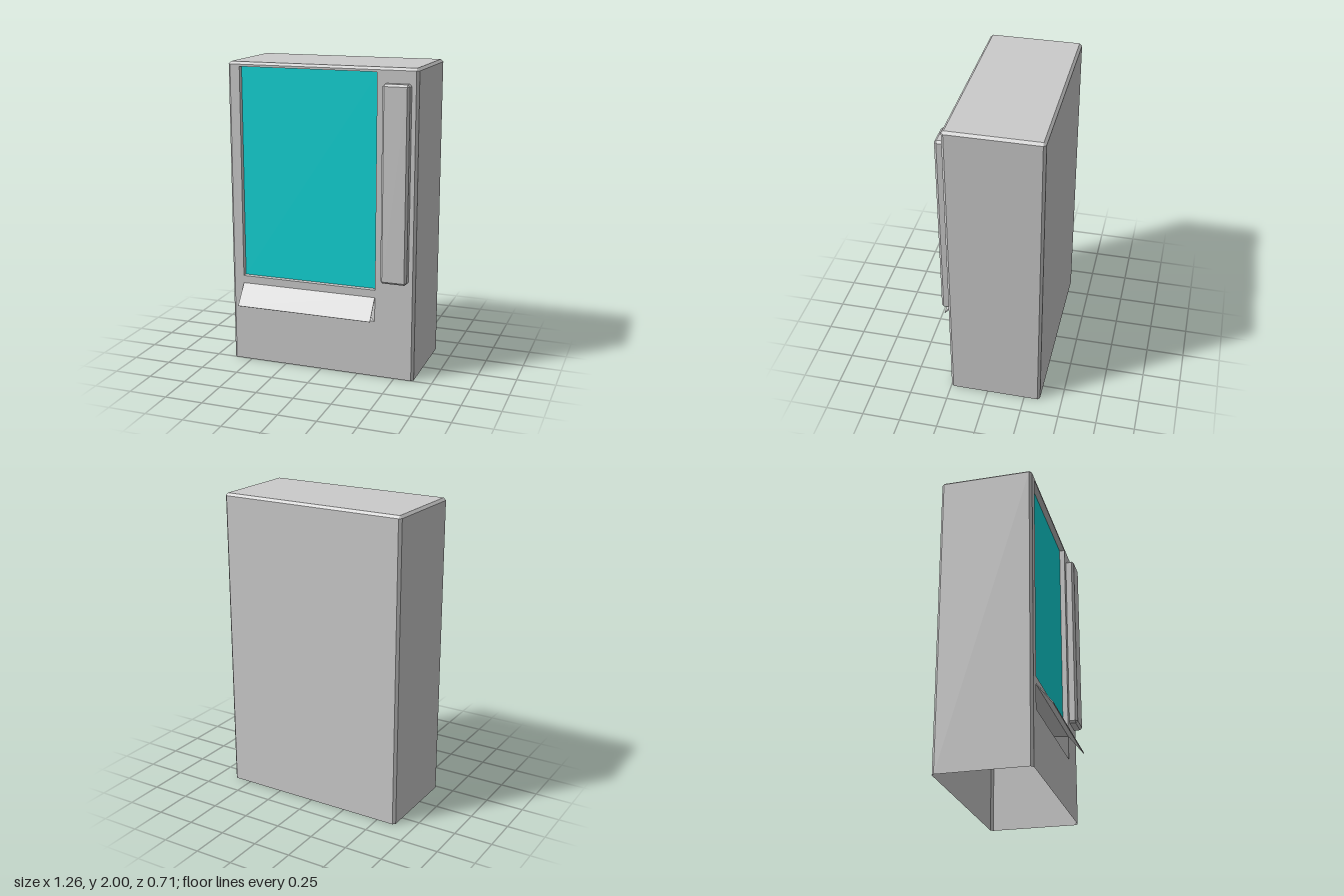
import * as THREE from 'three';

const grey = new THREE.MeshStandardMaterial({ color: 0xcccccc, side: THREE.DoubleSide });
const glass = new THREE.MeshStandardMaterial({ color: 0x0fd6d8, side: THREE.DoubleSide });

// Corner points of an upright rectangle at depth z, counter-clockwise from the front
const rect = (x0, x1, y0, y1, z) => [[x0, y0, z], [x1, y0, z], [x1, y1, z], [x0, y1, z]];

// Rectangle with cut corners
const cutRect = (x0, x1, y0, y1, c) => [
  [x0 + c, y0], [x1 - c, y0], [x1, y0 + c], [x1, y1 - c],
  [x1 - c, y1], [x0 + c, y1], [x0, y1 - c], [x0, y0 + c],
];

// Flat-shaded skin through rings of points; can leave out one side and close the last ring
function loft(rings, { cap = false, skip = () => false } = {}) {
  const pos = [];
  const tri = (...pts) => pts.forEach((p) => pos.push(...p));
  for (let r = 0; r + 1 < rings.length; r++) {
    const A = rings[r], B = rings[r + 1];
    A.forEach((a, i) => {
      if (skip(r, i)) return;
      const j = (i + 1) % A.length;
      tri(a, A[j], B[j]);
      tri(a, B[j], B[i]);
    });
  }
  if (cap) {
    const e = rings[rings.length - 1];
    for (let i = 1; i + 1 < e.length; i++) tri(e[0], e[i], e[i + 1]);
  }
  const g = new THREE.BufferGeometry();
  g.setAttribute('position', new THREE.Float32BufferAttribute(pos, 3));
  g.computeVertexNormals();
  return g;
}

export function createModel() {
  const group = new THREE.Group();
  const add = (name, geometry, material = grey) => {
    const mesh = new THREE.Mesh(geometry, material);
    mesh.name = name;
    group.add(mesh);
    return mesh;
  };

  const W = 0.628, front = 0.25, back = -0.355, H = 2, c = 0.016;
  const win = [-0.548, 0.366, 0.585, 1.97];
  const slot = [-0.546, 0.366, 0.375, 0.535];

  // Cabinet shell: bevelled uprights and top, open underneath, front left out
  const level = (y, inset) =>
    cutRect(-W + inset, W - inset, -front + inset, -back - inset, inset ? 0.001 : c)
      .map(([x, z]) => [x, y, -z]);
  const top = level(H, c);
  add('cabinet', loft([level(0, 0), level(H - c, 0), top],
    { cap: true, skip: (r, i) => r === 0 && i === 0 }));

  // Front wall with openings for the window and the delivery slot
  const wall = new THREE.Shape();
  rect(-W + c, W - c, 0, H - c, 0).forEach(([x, y], i) => (i ? wall.lineTo(x, y) : wall.moveTo(x, y)));
  for (const opening of [win, slot]) {
    wall.holes.push(new THREE.Path(rect(...opening, 0).map(([x, y]) => new THREE.Vector2(x, y))));
  }
  add('frontWall', new THREE.ShapeGeometry(wall).translate(0, 0, front));

  // Recessed window
  const glassZ = front - 0.035;
  add('windowReveal', loft([rect(...win, front), rect(...win, glassZ)]));
  add('window', loft([rect(...win, glassZ)], { cap: true }), glass);

  // Delivery slot tapering inwards
  const [sx0, sx1, sy0, sy1] = slot;
  add('deliverySlot', loft(
    [rect(...slot, front), rect(sx0 + 0.1, sx1 - 0.1, sy0 + 0.03, sy1 - 0.03, front - 0.1)],
    { cap: true }));

  // Hinged flap, swung out at the bottom
  const drop = 0.13, swing = 0.1;
  const flap = add('deliveryFlap',
    new THREE.BoxGeometry(sx1 - sx0, Math.hypot(drop, swing), 0.006));
  flap.position.set((sx0 + sx1) / 2, sy1 - drop / 2, front + swing / 2 + 0.002);
  flap.rotation.x = -Math.atan2(swing, drop);

  // Bevelled control panel
  const panelRing = (inset, z) =>
    cutRect(0.413 + inset, 0.585 - inset, 0.65 + inset, 1.905 - inset, inset ? 0.001 : 0.014)
      .map(([x, y]) => [x, y, z]);
  add('controlPanel', loft(
    [panelRing(0, front), panelRing(0, front + 0.04), panelRing(0.014, front + 0.055)],
    { cap: true }));

  return group;
}
